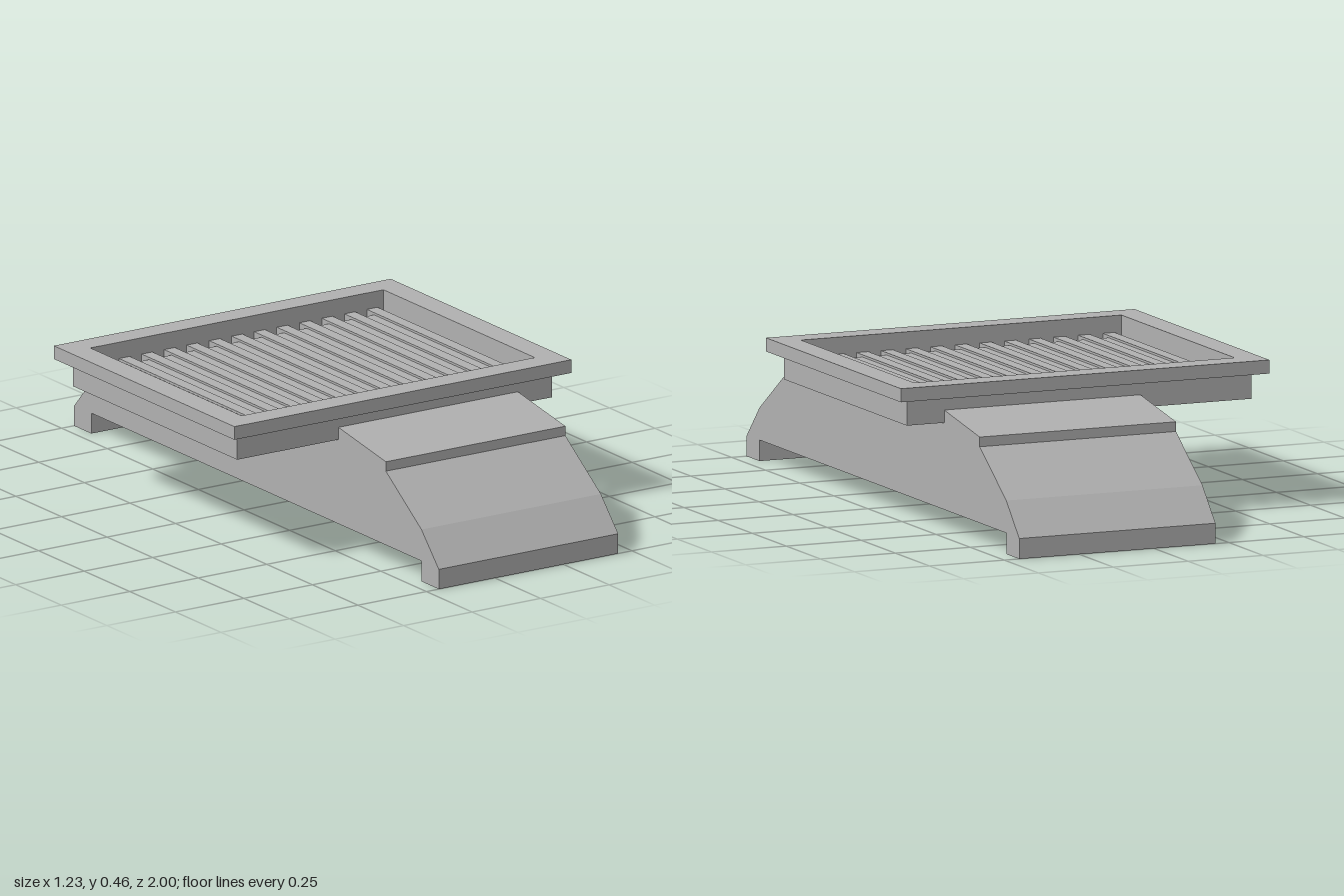
import * as THREE from 'three';

const grey = new THREE.MeshStandardMaterial({ color: 0xb0b0b0 });
grey.name = 'plain grey';

const HOLE_X = 0.535, HOLE_Z = 0.415;

function add(group, name, geometry) {
  const mesh = new THREE.Mesh(geometry, grey);
  mesh.name = name;
  group.add(mesh);
  return mesh;
}

function rectangle(path, hx, hz) {
  return path.moveTo(-hx, -hz).lineTo(hx, -hz).lineTo(hx, hz).lineTo(-hx, hz).closePath();
}

// Rectangular ring lying flat between two heights
function ring(hx, hz, bottom, top) {
  const shape = rectangle(new THREE.Shape(), hx, hz);
  shape.holes.push(rectangle(new THREE.Path(), HOLE_X, HOLE_Z));
  return new THREE.ExtrudeGeometry(shape, { depth: top - bottom, bevelEnabled: false })
    .rotateX(-Math.PI / 2).translate(0, bottom, 0);
}

export function createModel() {
  const model = new THREE.Group();
  model.name = 'ventGrille';

  // Long stepped base, its side profile mirrored front to back
  const half = [[0.905, 0.065], [0.905, 0], [1, 0], [1, 0.063], [0.905, 0.165],
    [0.71, 0.3], [0.71, 0.33], [0.45, 0.372]];
  const outline = [...half, ...half.map(([z, y]) => [-z, y]).reverse()];
  const profile = new THREE.Shape(outline.map(([z, y]) => new THREE.Vector2(z, y)));
  const base = new THREE.ExtrudeGeometry(profile, { depth: 0.655, bevelEnabled: false })
    .rotateY(-Math.PI / 2).translate(0.45, 0, 0);
  add(model, 'base', base);

  // Frame: wide rim on a narrower collar
  add(model, 'rim', ring(0.615, 0.495, 0.415, 0.457));
  add(model, 'collar', ring(0.575, 0.45, 0.333, 0.415));

  // Grille: full-length slats with shorter, slightly lower strips between them
  const grille = new THREE.Group();
  grille.name = 'grille';
  model.add(grille);
  const pitch = 0.0822, first = -0.4925;
  for (let i = 0; i < 13; i++) {
    const x = first + i * pitch;
    add(grille, 'slat', new THREE.BoxGeometry(0.039, 0.03, HOLE_Z * 2)).position.set(x, 0.39, 0);
    if (i < 12) {
      add(grille, 'strip', new THREE.BoxGeometry(0.0432, 0.02, 0.75))
        .position.set(x + pitch / 2, 0.388, 0);
    }
  }
  return model;
}
